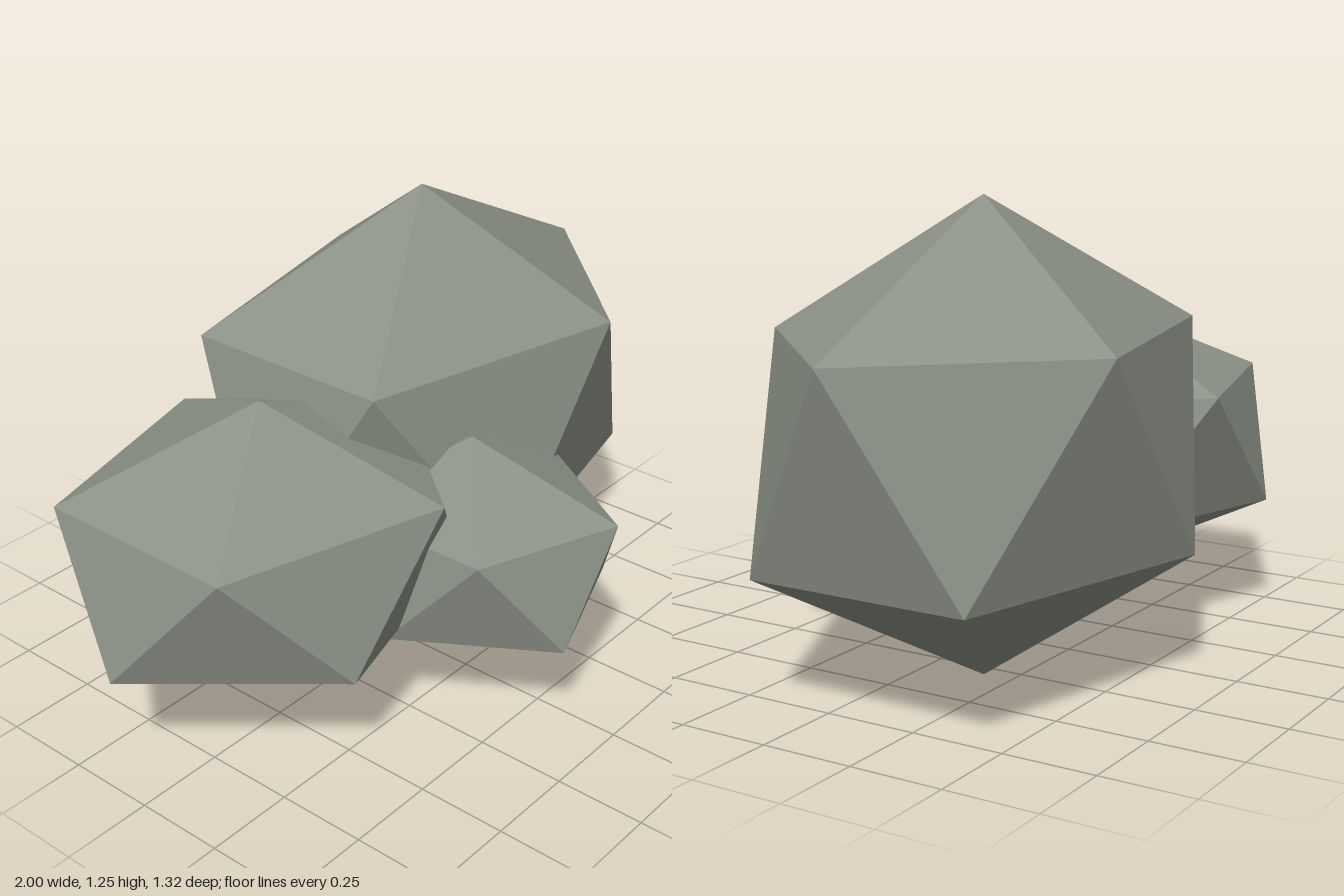
import * as THREE from 'three';

const stone = new THREE.MeshStandardMaterial({ color: 0x8c9287, flatShading: true });
stone.name = 'greyGreenStone';

// A boulder: an icosahedron standing on one corner, stretched along each axis
function boulder(name, radii, centre) {
  const geometry = new THREE.IcosahedronGeometry(1, 0);
  geometry.rotateX(-Math.atan((1 + Math.sqrt(5)) / 2)); // one corner straight up
  geometry.rotateY(Math.PI / 2); // upper ring points to +x
  geometry.scale(...radii);
  geometry.computeVertexNormals();
  const mesh = new THREE.Mesh(geometry, stone);
  mesh.name = name;
  mesh.position.set(...centre);
  return mesh;
}

export function createModel() {
  const group = new THREE.Group();
  group.name = 'rockCluster';
  group.add(
    boulder('largeRock', [0.783, 0.625, 0.585], [0.3, 0.625, -0.166]),
    boulder('mediumRock', [0.626, 0.39, 0.547], [-0.44, 0.51, -0.09]),
    boulder('smallRock', [0.398, 0.312, 0.464], [-0.014, 0.432, 0.266])
  );
  return group;
}
